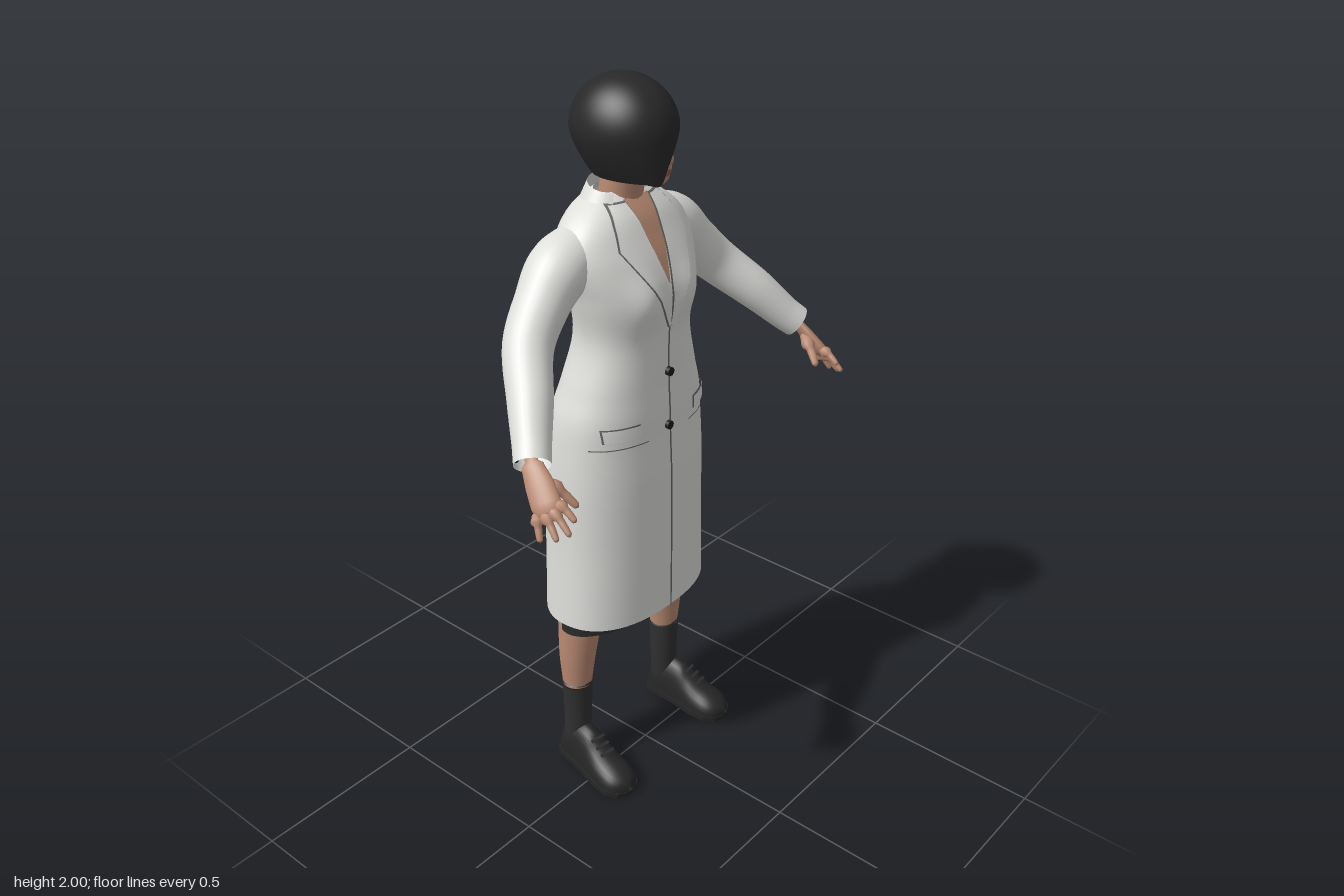
import * as THREE from 'three';
import { mergeVertices } from 'three/addons/utils/BufferGeometryUtils.js';

const V = (x, y, z) => new THREE.Vector3(x, y, z);
const mat = (name, color, side = THREE.FrontSide) => {
  const m = new THREE.MeshStandardMaterial({ color, side });
  m.name = name;
  return m;
};
const lerp = THREE.MathUtils.lerp;

// Smooth lookup in a table whose first column is the key
function sample(t, y) {
  const n = t.length - 1;
  let i = 0;
  while (i < n - 1 && y > t[i + 1][0]) i++;
  const h = t[i + 1][0] - t[i][0];
  const s = Math.min(1, Math.max(0, (y - t[i][0]) / h));
  const slope = (j, k) => {
    const a = t[Math.max(j - 1, 0)], b = t[Math.min(j + 1, n)];
    return (b[k] - a[k]) / (b[0] - a[0]);
  };
  return t[0].map((_, k) =>
    (2 * s ** 3 - 3 * s * s + 1) * t[i][k] + (s ** 3 - 2 * s * s + s) * h * slope(i, k) +
    (3 * s * s - 2 * s ** 3) * t[i + 1][k] + (s ** 3 - s * s) * h * slope(i + 1, k));
}

// Surface from fn(u, v); v wraps round when closed
function grid(nr, nc, fn, closed = true) {
  const pos = [], idx = [], cols = closed ? nc : nc + 1;
  for (let r = 0; r <= nr; r++)
    for (let c = 0; c < cols; c++) pos.push(...fn(r / nr, c / nc).toArray());
  for (let r = 0; r < nr; r++)
    for (let c = 0; c < nc; c++) {
      const d = (c + 1) % cols, a = r * cols + c, b = r * cols + d;
      idx.push(a, a + cols, b, b, a + cols, b + cols);
    }
  const g = new THREE.BufferGeometry();
  g.setAttribute('position', new THREE.Float32BufferAttribute(pos, 3));
  g.setIndex(idx);
  g.computeVertexNormals();
  return g;
}

// Body of rounded sections [y, halfWidth, frontZ, backZ]
function body(table, power = 2, bump = () => 0) {
  const y0 = table[0][0], y1 = table[table.length - 1][0];
  const geometry = (nr, nc) => grid(nr, nc, (u, v) => {
    const y = lerp(y0, y1, u), a = v * Math.PI * 2, c = Math.cos(a), s = Math.sin(a);
    const [, w, f, b] = sample(table, y), p = s > 0 ? 2 / power : 1;
    const x = w * Math.sign(c) * Math.abs(c) ** p;
    const z = (f + b) / 2 + (f - b) / 2 * Math.sign(s) * Math.abs(s) ** p;
    return V(x, y, z + (s > 0 ? bump(x, y) * s : 0));
  });
  const frontZ = (x, y) => {
    const [, w, f, b] = sample(table, y);
    const k = Math.max(0, 1 - Math.abs(x / w) ** power) ** (1 / power);
    return (f + b) / 2 + (f - b) / 2 * k + bump(x, y) * k;
  };
  // Thin patch laid over the front, rows [y, xMin, xMax] from bottom to top
  const drape = (rows, lift, grow = 0) => grid(16, 8, (u, v) => {
    const q = u * (rows.length - 1), i = Math.min(Math.floor(q), rows.length - 2), s = q - i;
    const [y, l, r] = rows[i].map((n, k) => lerp(n, rows[i + 1][k], s));
    const x = lerp(r + grow, l - grow, v), yy = y + (u * 2 - 1) * grow;
    return V(x, yy, frontZ(x, yy) + lift);
  }, false);
  return { geometry, drape };
}

// Tapered tube through [x, y, z, radius]; flat squashes it along ref
function limb(pts, nr = 24, nc = 20, flat = 1, ref = V(0, 0, 1)) {
  const path = new THREE.CatmullRomCurve3(pts.map(p => V(p[0], p[1], p[2])));
  const radii = new THREE.CatmullRomCurve3(pts.map(p => V(p[3], 0, 0)));
  return grid(nr, nc, (u, v) => {
    const t = path.getTangent(u), n = t.clone().cross(ref).normalize(), b = t.clone().cross(n);
    const r = Math.max(0.001, radii.getPoint(u).x), a = v * Math.PI * 2;
    return path.getPoint(u).addScaledVector(n, r * Math.cos(a)).addScaledVector(b, -r * flat * Math.sin(a));
  });
}

export function createModel() {
  const root = new THREE.Group();
  root.name = 'womanInLongCoat';
  const D = THREE.DoubleSide;
  const coat = mat('coatWhite', 0xdededb, D), skin = mat('skin', 0xb98a72);
  const hair = mat('hairBlack', 0x282828, D), skirt = mat('skirtBlack', 0x2a2b2b, D);
  const sock = mat('sockCharcoal', 0x303030), shoe = mat('shoeBlack', 0x262626);
  const dark = mat('seamGrey', 0x6a6a6a, D), button = mat('buttonBlack', 0x1c1c1c);
  const lip = mat('lips', 0x94594e), eyeWhite = mat('eyeWhite', 0xc9c2bb);

  const add = (name, geo, material) => {
    const m = new THREE.Mesh(geo, material);
    m.name = name;
    root.add(m);
    return m;
  };
  // Adds the left part and its mirrored right twin
  const pair = (name, geo, material) => {
    add(name + 'Left', geo, material);
    const g = (geo.index ? geo.clone() : mergeVertices(geo)).scale(-1, 1, 1), i = g.index;
    for (let k = 0; k < i.count; k += 3) {
      const a = i.getX(k);
      i.setX(k, i.getX(k + 1));
      i.setX(k + 1, a);
    }
    const n = g.attributes.normal;
    for (let k = 0; k < n.count; k++) if (geo.index === null) n.setX(k, n.getX(k));
    g.computeVertexNormals();
    add(name + 'Right', g, material);
  };

  // Coat
  const torso = body([
    [0.53, 0.26, 0.09, -0.255], [0.75, 0.25, 0.09, -0.257], [0.95, 0.247, 0.088, -0.255],
    [1.08, 0.238, 0.082, -0.24], [1.15, 0.228, 0.08, -0.225], [1.22, 0.205, 0.076, -0.205],
    [1.35, 0.17, 0.074, -0.178], [1.47, 0.188, 0.08, -0.18], [1.56, 0.21, 0.052, -0.198],
    [1.62, 0.2, 0.022, -0.195], [1.66, 0.165, 0, -0.187], [1.69, 0.12, -0.025, -0.17],
    [1.715, 0.07, -0.05, -0.14]
  ], 2.4, (x, y) => 0.018 * Math.exp(-(((Math.abs(x) - 0.085) / 0.05) ** 2) - ((y - 1.465) / 0.07) ** 2));
  add('coatBody', torso.geometry(90, 64), coat);
  pair('sleeve', limb([
    [0.12, 1.59, -0.095, 0.07], [0.21, 1.555, -0.095, 0.08], [0.285, 1.49, -0.085, 0.069],
    [0.36, 1.415, -0.06, 0.063], [0.44, 1.325, 0.02, 0.056], [0.5, 1.25, 0.08, 0.047],
    [0.526, 1.222, 0.106, 0.045]
  ], 40, 28), coat);
  add('collar', grid(8, 40, (u, v) => {
    const a = lerp(-2.3, 2.3, v), c = Math.cos(a);
    return V(Math.sin(a) * lerp(0.128, 0.088, u), lerp(1.672, 1.738, u) - 0.012 * (1 - c),
      -0.088 - c * lerp(0.09, 0.066, u));
  }, false), coat);

  // Open neckline, lapels, front seam and pockets
  add('neckline', torso.drape([[1.5, -0.002, 0.002], [1.6, -0.026, 0.026], [1.7, -0.045, 0.045]], 0.004), skin);
  const lapel = [[1.385, 0, 0.006], [1.5, 0.008, 0.066], [1.6, 0.028, 0.122], [1.655, 0.036, 0.108], [1.695, 0.045, 0.09]];
  pair('lapelEdge', torso.drape(lapel, 0.005, 0.003), dark);
  pair('lapel', torso.drape(lapel, 0.008), coat);
  add('frontSeam', torso.drape([[0.532, -0.003, 0.003], [0.95, -0.003, 0.003], [1.2, -0.003, 0.003], [1.4, -0.003, 0.003]], 0.004), dark);
  pair('pocketEdge', torso.drape([[1.108, 0.105, 0.198], [1.142, 0.108, 0.2]], 0.004, 0.002), dark);
  pair('pocketFlap', torso.drape([[1.108, 0.105, 0.198], [1.142, 0.108, 0.2]], 0.008), coat);
  pair('pocketSeam', torso.drape([[1.084, 0.08, 0.222], [1.087, 0.08, 0.222]], 0.004), dark);
  for (const y of [1.105, 1.26])
    add('frontButton', new THREE.CylinderGeometry(0.012, 0.012, 0.012, 16).rotateX(Math.PI / 2).translate(-0.005, y, 0.085), button);
  for (let i = 0; i < 3; i++)
    pair('cuffButton', new THREE.SphereGeometry(0.008, 10, 8).translate(0.524 + i * 0.011, 1.257 - i * 0.012, 0.05 + i * 0.011), button);

  // Skirt
  add('skirt', body([[0.49, 0.248, 0.045, -0.19], [0.6, 0.243, 0.045, -0.19], [0.8, 0.23, 0.04, -0.19]]).geometry(8, 48), skirt);

  // Legs, socks and shoes
  pair('leg', limb([[0.16, 0.85, -0.08, 0.075], [0.182, 0.49, -0.087, 0.061], [0.19, 0.38, -0.091, 0.052], [0.193, 0.27, -0.092, 0.04]]), skin);
  pair('sock', limb([[0.194, 0.286, -0.092, 0.036], [0.194, 0.29, -0.092, 0.044], [0.193, 0.2, -0.092, 0.041], [0.196, 0.08, -0.092, 0.038]]), sock);
  const last = [
    [-0.145, 0.006, 0.08], [-0.135, 0.034, 0.1], [-0.11, 0.044, 0.115], [-0.07, 0.045, 0.128],
    [-0.03, 0.047, 0.122], [0, 0.051, 0.1], [0.04, 0.056, 0.078], [0.09, 0.054, 0.062],
    [0.12, 0.034, 0.045], [0.132, 0.006, 0.03]
  ];
  const place = g => g.rotateX(0.09).rotateY(0.1).translate(0.208, 0.013, 0);
  pair('shoeUpper', place(grid(36, 28, (u, v) => {
    const [z, w, h] = sample(last, lerp(0.132, -0.145, u)), a = v * Math.PI * 2, s = Math.sin(a);
    return V(w * Math.cos(a), 0.012 + (h - 0.012) * Math.max(0, s) ** 0.8, z);
  })), shoe);
  const side = last.map(([z, w]) => new THREE.Vector2(w + 0.005, z));
  const outline = [...side, ...side.map(p => new THREE.Vector2(-p.x, p.y)).reverse()];
  pair('shoeSole', place(new THREE.ExtrudeGeometry(new THREE.Shape(outline), { depth: 0.016, bevelEnabled: false })
    .rotateX(Math.PI / 2).translate(0, 0.016, 0)), shoe);
  pair('shoeHeel', place(new THREE.BoxGeometry(0.08, 0.02, 0.06).translate(0, -0.003, -0.1)), shoe);
  for (let i = 0; i < 3; i++)
    pair('shoeLace', place(new THREE.BoxGeometry(0.045, 0.008, 0.009).rotateX(0.5).translate(0, 0.112 - i * 0.012, -0.013 + i * 0.021)), sock);

  // Hands
  const palmNormal = V(0.79, 0.56, 0.3).normalize();
  pair('palm', limb([
    [0.505, 1.25, 0.08, 0.028], [0.525, 1.22, 0.105, 0.028], [0.537, 1.185, 0.138, 0.036],
    [0.549, 1.152, 0.168, 0.038], [0.556, 1.134, 0.184, 0.028], [0.558, 1.13, 0.188, 0.001]
  ], 20, 18, 0.45, palmNormal), skin);
  const tips = [[0.533, 1.128, 0.248], [0.555, 1.1, 0.25], [0.576, 1.086, 0.228], [0.592, 1.076, 0.188]];
  const finger = (a, b, r) => limb([[...a, r], [...a.map((n, k) => lerp(n, b[k], 0.5) + (k === 1 ? 0.006 : 0)), r],
    [...a.map((n, k) => lerp(n, b[k], 0.93)), r * 0.75], [...b, 0.001]], 12, 10);
  tips.forEach((tip, i) => pair('finger', finger([0.536 + i * 0.011, 1.158 - i * 0.01, 0.184 - i * 0.01], tip, 0.0095), skin));
  pair('thumb', finger([0.521, 1.19, 0.138], [0.484, 1.13, 0.21], 0.012), skin);

  // Neck and head
  add('neck', limb([[0, 1.6, -0.09, 0.065], [0, 1.7, -0.08, 0.056], [0, 1.82, -0.05, 0.054]]), skin);
  const head = body([
    [1.742, 0.012, 0.048, 0.02], [1.75, 0.034, 0.058, -0.01], [1.77, 0.055, 0.064, -0.05],
    [1.8, 0.071, 0.066, -0.1], [1.85, 0.083, 0.067, -0.13], [1.9, 0.088, 0.065, -0.15],
    [1.95, 0.07, 0.03, -0.12], [1.98, 0.02, -0.03, -0.07]
  ]);
  add('head', head.geometry(40, 40), skin);
  add('nose', limb([[0, 1.858, 0.06, 0.005], [0, 1.83, 0.069, 0.009], [0, 1.812, 0.073, 0.012], [0, 1.802, 0.066, 0.007]], 12, 12), skin);
  add('lips', head.drape([[1.768, -0.01, 0.01], [1.777, -0.022, 0.022], [1.786, -0.008, 0.008]], 0.003), lip);
  pair('eye', head.drape([[1.845, 0.028, 0.04], [1.851, 0.02, 0.049], [1.857, 0.026, 0.043]], 0.002), eyeWhite);
  pair('iris', head.drape([[1.845, 0.031, 0.039], [1.857, 0.03, 0.04]], 0.004), button);
  pair('eyelash', head.drape([[1.856, 0.02, 0.053], [1.861, 0.022, 0.05]], 0.004), button);
  pair('eyebrow', head.drape([[1.873, 0.015, 0.055], [1.879, 0.018, 0.058]], 0.003), hair);

  // Asymmetric bob: lower edge by angle from the front, positive toward the left
  const edge = [
    [-180, 1.785], [-130, 1.765], [-90, 1.76], [-40, 1.76], [-15, 1.757], [0, 1.805], [20, 1.865],
    [42, 1.9], [60, 1.89], [74, 1.768], [85, 1.758], [130, 1.765], [180, 1.785]
  ];
  add('hairBob', grid(32, 96, (u, v) => {
    let th = 90 - v * 360;
    if (th < -180) th += 360;
    const low = sample(edge, th)[1], a = th * Math.PI / 180;
    const y = 2 - (2 - low) * (1 - Math.cos((1 - u) * Math.PI / 2));
    const f = y > 1.87 ? Math.sqrt(Math.max(0, 1 - ((y - 1.87) / 0.13) ** 2)) : 1;
    const t = y < 1.87 ? ((1.87 - y) / 0.115) ** 1.5 : 0;
    const x = Math.sin(a) * 0.122 * f, z = Math.cos(a) * 0.143 * f;
    return V(-0.012 + x * (1 - t * (x < 0 ? 0.38 : 0.1)), y, -0.057 + z * (1 - t * (z < 0 ? 0.45 : 0.03)));
  }), hair);
  return root;
}
